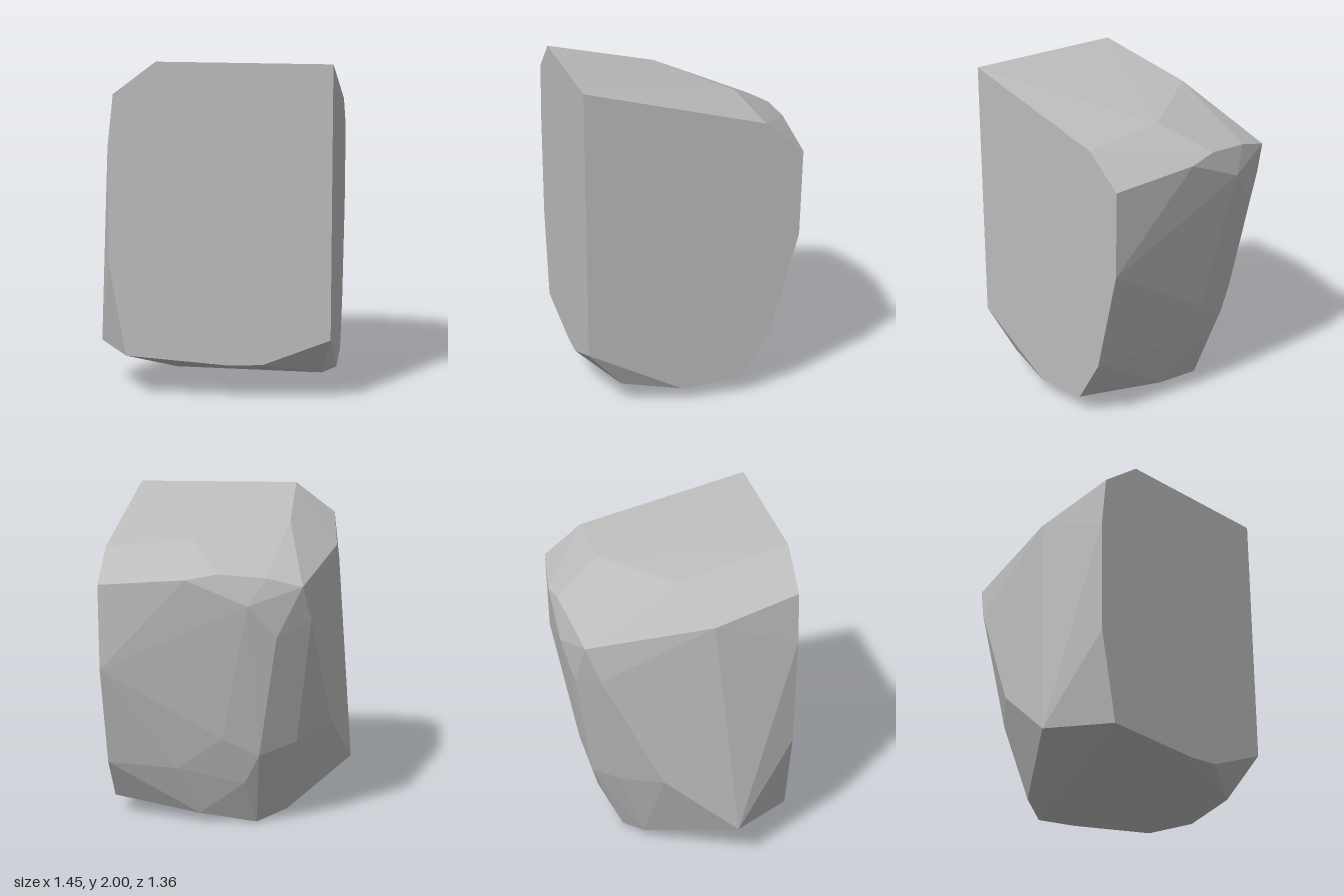
import * as THREE from 'three';
import { ConvexGeometry } from 'three/addons/geometries/ConvexGeometry.js';

// A broken rock fragment: two flat cut sides (front and +x), chipped elsewhere.
const FRONT = 0.68;
const SIDE = 0.72;

// Outline of the flat front cut, as x, y
const frontCut = [
  [-0.31, 2.0], [SIDE, 1.99], [SIDE, 0.38], [0.32, 0.22], [0.12, 0.21],
  [-0.5, 0.25], [-0.6, 0.8], [-0.6, 1.5], [-0.565, 1.81],
];

// Remaining outline of the flat side cut, as y, z
const sideCut = [
  [1.73, -0.39], [1.54, -0.625], [1.02, -0.615],
  [0.39, -0.445], [0.115, -0.265], [0.085, 0.11],
];

// Corners of the chipped faces
const topCorners = [
  [-0.35, 1.85, 0], [0.19, 1.778, -0.37], [0.43, 1.765, -0.34],
  [-0.625, 1.68, 0.17], [-0.49, 1.552, -0.57], [-0.28, 1.605, -0.612],
  [0, 1.627, -0.65], [0.19, 1.593, -0.68],
];
const backCorners = [
  [-0.18, 1.446, -0.67], [-0.343, 1.25, -0.612], [-0.535, 1.341, -0.49],
  [-0.01, 0.6, -0.55], [0.28, 0.385, -0.49], [-0.23, 0.495, -0.508],
  [-0.135, 0.3, -0.46], [-0.44, 0.55, -0.36],
];
const lowCorners = [
  [-0.63, 0.623, -0.13], [-0.725, 0.26, 0.32], [-0.37, 0.063, -0.21],
  [-0.31, 0.02, -0.02], [-0.19, 0, -0.31], [0.16, 0.06, -0.37],
  [0.655, 0.135, 0.47],
];

export function createModel() {
  const stone = new THREE.MeshStandardMaterial({ color: 0xbcbcbc });
  stone.name = 'grey stone';

  const corners = [
    ...frontCut.map(([x, y]) => [x, y, FRONT]),
    ...sideCut.map(([y, z]) => [SIDE, y, z]),
    ...topCorners, ...backCorners, ...lowCorners,
  ].map((p) => new THREE.Vector3(...p));

  // The faceted solid spanned by all corners
  const rock = new THREE.Mesh(new ConvexGeometry(corners), stone);
  rock.name = 'rockFragment';

  const group = new THREE.Group();
  group.name = 'rock';
  group.add(rock);
  return group;
}
